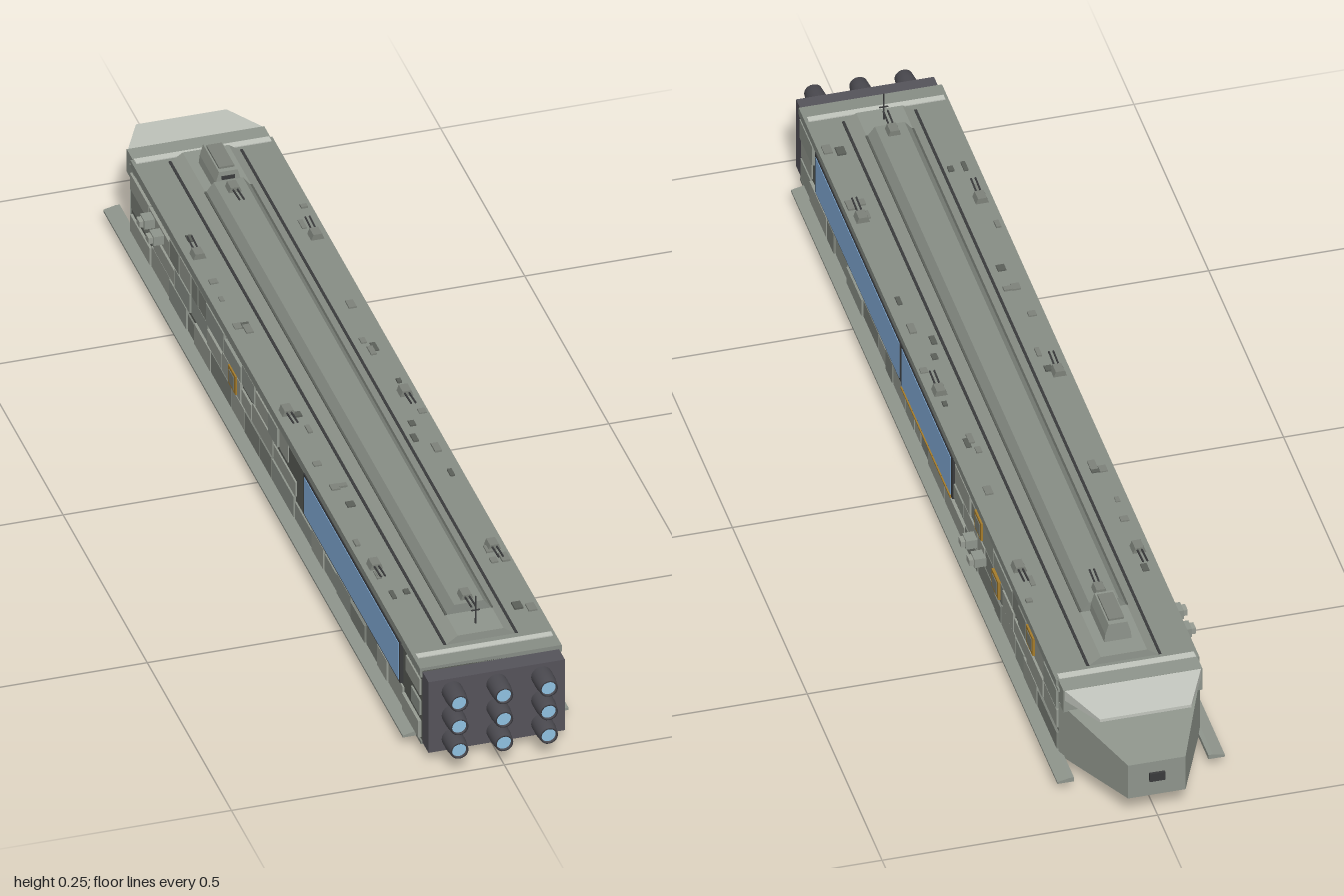
import * as THREE from 'three';

const mat = (color) => new THREE.MeshStandardMaterial({ color, flatShading: true });
const M = {
  hull: mat(0x8f958c), deck: mat(0x878d85), panelA: mat(0x979c93), panelB: mat(0x7d827a),
  recess: mat(0x5b5f59), dark: mat(0x3a3b3c), engine: mat(0x55535a), light: mat(0xc2c6be),
  glass: mat(0x85b0dc), glow: mat(0x8fc0e0), amber: mat(0xa57c2c), keel: mat(0x80857d),
};

// small seeded generator for panel and greeble placement
let seed = 7;
const rnd = () => (seed = (seed * 16807) % 2147483647) / 2147483647;

export function createModel() {
  const root = new THREE.Group();
  root.name = 'starship';

  const add = (name, geo, m, parent = root) => {
    const mesh = new THREE.Mesh(geo, m);
    mesh.name = name;
    parent.add(mesh);
    return mesh;
  };
  // box given by its extents
  const box = (name, m, x0, x1, y0, y1, z0, z1, parent) => {
    const g = new THREE.BoxGeometry(Math.abs(x1 - x0), y1 - y0, z1 - z0);
    g.translate((x0 + x1) / 2, (y0 + y1) / 2, (z0 + z1) / 2);
    return add(name, g, m, parent);
  };
  // outline in x,y swept along z
  const prism = (name, m, pts, z0, z1, parent) => {
    const shape = new THREE.Shape(pts.map(([x, y]) => new THREE.Vector2(x, y)));
    const g = new THREE.ExtrudeGeometry(shape, { depth: z1 - z0, bevelEnabled: false });
    g.translate(0, 0, z0);
    return add(name, g, m, parent);
  };
  // symmetric six-sided block between two z sections [z, halfWidth, bottom, top]
  const wedge = (name, m, back, front) => {
    const g = new THREE.BoxGeometry(2, 1, 1);
    const p = g.attributes.position;
    for (let i = 0; i < p.count; i++) {
      const [z, w, b, t] = p.getZ(i) < 0 ? back : front;
      p.setXYZ(i, Math.sign(p.getX(i)) * w, p.getY(i) > 0 ? t : b, z);
    }
    g.computeVertexNormals();
    return add(name, g, m);
  };

  // hull core, deck slab and keel
  box('hullCore', M.recess, -0.125, 0.125, 0.02, 0.17, -0.81, 0.92);
  box('deckSlab', M.deck, -0.13, 0.13, 0.162, 0.176, -0.80, 0.92);
  box('frontDeckStripe', M.light, -0.124, 0.124, 0.17, 0.178, 0.875, 0.888);
  box('rearDeckStripe', M.light, -0.124, 0.124, 0.17, 0.178, -0.80, -0.785);
  prism('keel', M.keel, [[-0.072, 0.021], [-0.036, 0], [0.036, 0], [0.072, 0.021]], -0.83, 0.88);
  box('bellyPlate', M.keel, -0.128, 0.128, 0.018, 0.024, -0.81, 0.92);

  // tapered nose with overhanging brow
  wedge('nose', M.hull, [-0.995, 0.052, 0.043, 0.115], [-0.81, 0.128, 0.02, 0.135]);
  box('nosePort', M.dark, -0.014, 0.014, 0.075, 0.092, -1.0, -0.99);
  wedge('brow', M.light, [-0.92, 0.083, 0.162, 0.168], [-0.83, 0.126, 0.155, 0.177]);
  box('browRoot', M.hull, -0.126, 0.126, 0.13, 0.177, -0.835, -0.79);

  // stepped spine along the deck
  prism('lowerSpine', M.hull, [[-0.065, 0.175], [0.065, 0.175], [0.058, 0.18], [0.042, 0.191],
    [-0.042, 0.191], [-0.058, 0.18]], -0.775, 0.86);
  prism('upperSpine', M.deck, [[-0.042, 0.19], [0.042, 0.19], [0.027, 0.209], [-0.027, 0.209]], -0.64, 0.79);
  for (const s of [-1, 1]) {
    box('spineGroove', M.dark, s * 0.063, s * 0.068, 0.175, 0.1775, -0.775, 0.86);
    box('spineInnerGroove', M.recess, s * 0.04, s * 0.044, 0.19, 0.1925, -0.64, 0.79);
  }

  // bridge tower and mast
  prism('bridgeTower', M.hull, [[-0.025, 0.19], [0.025, 0.19], [0.023, 0.207], [0.017, 0.228],
    [-0.017, 0.228], [-0.023, 0.207]], -0.735, -0.64);
  box('bridgeRoof', M.panelB, -0.014, 0.014, 0.227, 0.232, -0.725, -0.65);
  box('bridgeWindow', M.dark, -0.012, 0.012, 0.212, 0.219, -0.64, -0.638);
  const mast = add('mast', new THREE.CylinderGeometry(0.0012, 0.0018, 0.058, 6), M.dark);
  mast.position.set(0, 0.218, 0.83);
  box('mastCrossbar', M.dark, -0.008, 0.008, 0.217, 0.219, 0.829, 0.831);

  // gun turrets, dir is the barrel direction along z
  const turret = (x, y, z, dir) => {
    const t = new THREE.Group();
    t.name = 'turret';
    prism('turretBody', M.panelB, [[-0.012, 0], [0.012, 0], [0.008, 0.011], [-0.008, 0.011]], -0.012, 0.012, t);
    for (const s of [-1, 1]) {
      const b = add('barrel', new THREE.CylinderGeometry(0.0017, 0.0017, 0.045, 6), M.dark, t);
      b.rotation.x = Math.PI / 2 - 0.08;
      b.position.set(s * 0.004, 0.008, 0.028);
    }
    t.position.set(x, y, z);
    if (dir < 0) t.rotation.y = Math.PI;
    root.add(t);
  };
  for (const x of [-0.108, 0.108]) {
    turret(x, 0.176, -0.47, -1);
    turret(x, 0.176, 0.06, 1);
    turret(x, 0.176, 0.58, 1);
  }
  turret(0, 0.208, 0.768, 1);
  turret(0, 0.208, -0.61, 1);

  // deck hatches and vents
  for (let i = 0; i < 34; i++) {
    const s = i % 2 ? 1 : -1, x = s * (0.08 + rnd() * 0.04), z = -0.75 + rnd() * 1.55;
    const w = 0.004 + rnd() * 0.004, d = 0.005 + rnd() * 0.009;
    box('deckHatch', i % 3 ? M.panelB : M.recess, x - w, x + w, 0.175, 0.178 + rnd() * 0.002, z - d, z + d);
  }

  // sides: windows, doors and equipment boxes differ left to right
  const sides = [
    { s: 1, windows: [[0.24, 0.80, 0.08], [-0.105, 0.225, 0.075]],
      doors: [[-0.285, 0.14], [-0.63, 0.14], [-0.40, 0.095]], pods: [[-0.26, 0.09], [-0.315, 0.09]] },
    { s: -1, windows: [[0.24, 0.80, 0.08]],
      doors: [[-0.19, 0.095]], pods: [[-0.61, 0.135], [-0.665, 0.135]] },
  ];
  const rows = [[0.028, 0.07], [0.074, 0.112], [0.116, 0.156]];
  for (const { s, windows, doors, pods } of sides) {
    const side = new THREE.Group();
    side.name = s > 0 ? 'leftSide' : 'rightSide';
    root.add(side);
    const plate = (name, m, x, y0, y1, z0, z1) => box(name, m, s * 0.12, s * x, y0, y1, z0, z1, side);

    // armour plates in three rows, left out behind the windows
    for (const [y0, y1] of rows) {
      let z = -0.805;
      while (z < 0.9) {
        const z1 = Math.min(z + 0.04 + rnd() * 0.1, 0.915);
        const covered = y0 > 0.07 && windows.some(([a, b]) => z1 > a && z < b);
        const m = rnd() < 0.3 ? M.panelB : rnd() < 0.5 ? M.hull : M.panelA;
        const x = 0.1275 + rnd() * 0.0035, trim = rnd() < 0.3 ? 0.008 : 0;
        if (!covered) plate('armourPlate', m, x, y0, y1 - trim, z + 0.002, z1 - 0.002);
        z = z1;
      }
    }
    plate('upperBelt', M.hull, 0.129, 0.157, 0.163, -0.81, 0.92);

    for (const [a, b, y0] of windows) {
      plate('windowFrame', M.dark, 0.1315, y0 - 0.004, 0.161, a - 0.007, b + 0.007);
      plate('windowPane', M.glass, 0.1325, y0, 0.156, a, b);
    }
    if (windows.length > 1) plate('amberSill', M.amber, 0.134, 0.069, 0.072, -0.105, 0.225);
    for (const [z, y] of doors) {
      plate('doorFrame', M.amber, 0.1325, y - 0.019, y + 0.019, z - 0.022, z + 0.022);
      plate('door', M.panelB, 0.1335, y - 0.013, y + 0.013, z - 0.015, z + 0.015);
    }
    for (const [z, y] of pods) {
      plate('podMount', M.hull, 0.15, y - 0.009, y + 0.009, z - 0.013, z + 0.013);
      plate('podCap', M.panelA, 0.158, y - 0.006, y + 0.006, z - 0.009, z + 0.009);
    }
    // bottom side fin
    const fin = [[0.122, 0.018], [0.152, 0.018], [0.152, 0.022], [0.13, 0.027], [0.122, 0.027]];
    prism('sideFin', M.hull, fin.map(([x, y]) => [s * x, y]), -0.89, 0.89, side);
  }

  // engine block with nine nozzles
  box('engineBlock', M.engine, -0.125, 0.125, 0.021, 0.168, 0.92, 0.955);
  for (const x of [-0.082, 0, 0.082]) for (const y of [0.045, 0.094, 0.143]) {
    const profile = [[0.019, 0], [0.019, 0.025], [0.0165, 0.048], [0.0135, 0.048], [0.0135, 0.04]];
    const nozzle = add('engineNozzle', new THREE.LatheGeometry(
      profile.map(([r, h]) => new THREE.Vector2(r, h)), 20),
      new THREE.MeshStandardMaterial({ color: 0x4a494f, side: THREE.DoubleSide }));
    nozzle.rotation.x = Math.PI / 2;
    nozzle.position.set(x, y, 0.952);
    const glow = add('engineGlow', new THREE.CircleGeometry(0.0138, 20), M.glow);
    glow.position.set(x, y, 0.996);
  }
  return root;
}
